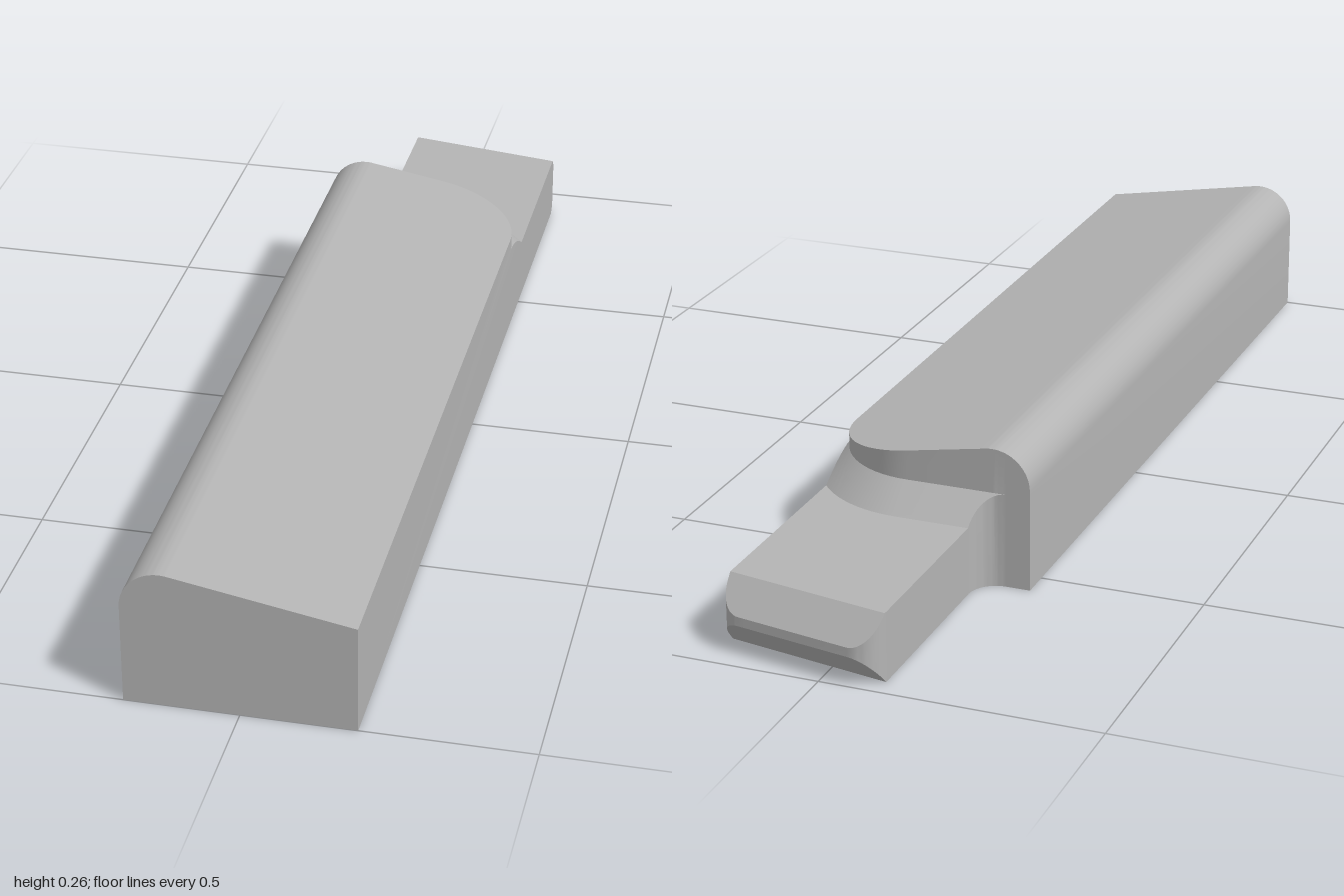
import * as THREE from 'three';
import { toCreasedNormals } from 'three/addons/utils/BufferGeometryUtils.js';

const W = 0.2;                                    // half width of the shank
const NECK = -0.105;                              // right side of the tongue
const TONGUE = 0.125, STEP = 0.175;               // tongue height, top of the ramp
const BACK = -0.555, RAMP = 0.05, RAMP_STEPS = 8; // rear shoulder and its ramp
const SLOPE = Math.tan(Math.PI / 18), COS = Math.cos(Math.PI / 18);
const half = (r, d) => Math.sqrt(Math.max(0, r * r - d * d));

// Sloped top with one rounded edge
const topLine = x => 0.2 + SLOPE * (W - x);
const TOP_R = 0.07, TOP_X = -W + TOP_R;
function topY(x) {
  if (x > TOP_X + TOP_R * SLOPE * COS) return topLine(x);
  return topLine(TOP_X) - TOP_R / COS + half(TOP_R, x - TOP_X);
}

// Rear shoulder: straight, then a quarter arc; "out" offsets it outwards
const ARC_X = 0.03, ARC_R = 0.17;
const shoulderZ = (x, out) =>
  BACK + ARC_R - (x < ARC_X ? ARC_R + out : half(ARC_R + out, x - ARC_X));

// Concave fillet between shoulder and tongue
const filletZ = x => (x < NECK - RAMP ? BACK : BACK - RAMP + half(RAMP, x - NECK + RAMP));

// Slanted tongue tip with rounded corners
const tipLine = x => -1.009 + SLOPE * (x - NECK);
const TIP_R = 0.045, TIP_A = NECK + TIP_R, TIP_B = W - TIP_R, TIP_T = TIP_R * SLOPE * COS;
function tipZ(x) {
  const round = c => tipLine(c) + TIP_R / COS - half(TIP_R, x - c);
  if (x < TIP_A + TIP_T) return round(TIP_A);
  if (x > TIP_B + TIP_T) return round(TIP_B);
  return tipLine(x);
}

// Side profile [z, y] at a given x, from the front foot over the top and back
function profile(x, onTongue) {
  const pts = [[1, 0], [1, topY(x)], [shoulderZ(x, 0), topY(x)]];
  const limit = onTongue ? 1 : (BACK - filletZ(x)) / RAMP;
  for (let i = 0; i <= RAMP_STEPS; i++) {
    const t = Math.min(i / RAMP_STEPS, limit);
    pts.push([shoulderZ(x, t * RAMP), STEP - t * (STEP - TONGUE)]);
  }
  if (onTongue) {
    const end = tipZ(x), chamfer = tipLine(x) + 0.047;
    const start = Math.max(chamfer, end), drop = 1.15 * Math.max(0, chamfer - end);
    pts.push([start, TONGUE], [end, TONGUE - drop], [end, drop], [start, 0]);
  } else {
    const [z, y] = pts[pts.length - 1];
    pts.push([z, y], [z, y], [z, 0], [z, 0]);
  }
  return pts;
}

// Column positions, closer together along each curve
function columns() {
  const xs = [-W, NECK, W];
  const arc = (c, r, from, to, n = 12) => {
    for (let i = 0; i <= n; i++) xs.push(c + r * Math.sin(from + (to - from) * i / n));
  };
  const q = Math.PI / 2, s = Math.PI / 18;
  arc(TOP_X, TOP_R, -q, s);
  arc(NECK - RAMP, RAMP, 0, q);
  arc(TIP_A, TIP_R, -q, s);
  arc(TIP_B, TIP_R, s, q);
  arc(ARC_X, ARC_R, 0, q, 16);
  xs.sort((a, b) => a - b);
  return xs.filter((x, i) => i === 0 || x - xs[i - 1] > 1e-5);
}

function shankGeometry() {
  const xs = columns();
  const loops = [];
  const add = (x, onTongue) =>
    loops.push(profile(x, onTongue).map(([z, y]) => new THREE.Vector3(x, y, z)));
  xs.filter(x => x < NECK + 1e-5).forEach(x => add(x, false));
  xs.filter(x => x > NECK - 1e-5).forEach(x => add(x, true));

  const pos = [];
  const tri = (a, b, c) => {
    const n = b.clone().sub(a).cross(c.clone().sub(a));
    if (n.length() > 1e-10) pos.push(...a, ...b, ...c);
  };
  // Skin between neighbouring columns
  for (let k = 0; k + 1 < loops.length; k++) {
    const A = loops[k], B = loops[k + 1];
    for (let i = 0; i < A.length; i++) {
      const j = (i + 1) % A.length;
      tri(A[i], B[i], B[j]);
      tri(A[i], B[j], A[j]);
    }
  }
  // Flat side walls
  const cap = (loop, side) => {
    const pts = loop.filter((p, i) => p.distanceTo(loop[(i + 1) % loop.length]) > 1e-6);
    const flat = pts.map(p => new THREE.Vector2(p.z, p.y));
    for (const [a, b, c] of THREE.ShapeUtils.triangulateShape(flat, [])) {
      const nx = pts[b].clone().sub(pts[a]).cross(pts[c].clone().sub(pts[a])).x;
      if (nx * side > 0) tri(pts[a], pts[b], pts[c]);
      else tri(pts[a], pts[c], pts[b]);
    }
  };
  cap(loops[0], -1);
  cap(loops[loops.length - 1], 1);

  const geo = new THREE.BufferGeometry();
  geo.setAttribute('position', new THREE.Float32BufferAttribute(pos, 3));
  return toCreasedNormals(geo, 0.4);
}

export function createModel() {
  const steel = new THREE.MeshStandardMaterial({ color: 0xb4b4b4 });
  steel.name = 'plain grey';
  const shank = new THREE.Mesh(shankGeometry(), steel);
  shank.name = 'shankWithTongue';
  const model = new THREE.Group();
  model.name = 'steppedBar';
  model.add(shank);
  return model;
}
